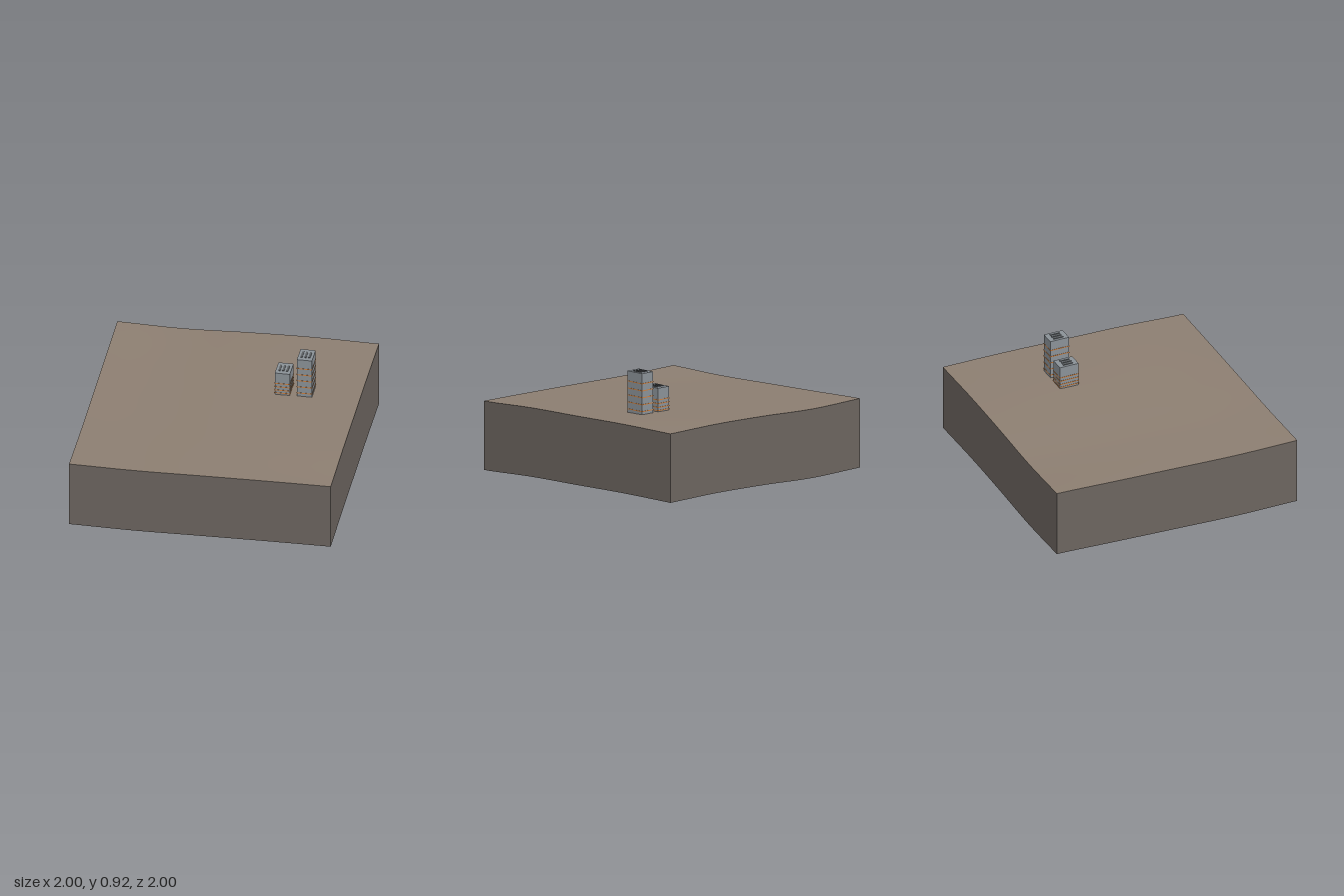
import * as THREE from 'three';

const DEPTH = 0.53;
const SEGMENTS = 32;

// Ground heights along the four edges, running -1 to +1
const edge = (...h) => new THREE.SplineCurve(h.map((y, i) => new THREE.Vector2(i, y)));
const backEdge = edge(0.58, 0.574, 0.595, 0.608, 0.605);
const frontEdge = edge(0.533, 0.531, 0.541, 0.55, 0.556);
const rightEdge = edge(0.58, 0.563, 0.547, 0.532, 0.533); // x = -1
const leftEdge = edge(0.605, 0.603, 0.591, 0.58, 0.556); // x = +1

// Blend the four edges into a gently rolling surface
function groundHeight(x, z) {
  const u = THREE.MathUtils.clamp((x + 1) / 2, 0, 1);
  const v = THREE.MathUtils.clamp((z + 1) / 2, 0, 1);
  const h = (curve, t) => curve.getPoint(t).y;
  const mix = THREE.MathUtils.lerp;
  const corners = mix(mix(h(backEdge, 0), h(backEdge, 1), u), mix(h(frontEdge, 0), h(frontEdge, 1), u), v);
  return mix(h(backEdge, u), h(frontEdge, u), v) + mix(h(rightEdge, v), h(leftEdge, v), u) - corners;
}

export function createModel() {
  const model = new THREE.Group();
  model.name = 'towersOnTerrain';

  const material = (name, color, side = THREE.FrontSide) => {
    const m = new THREE.MeshStandardMaterial({ color, side });
    m.name = name;
    return m;
  };
  const soil = material('soil', 0x8c7e71, THREE.DoubleSide);
  const earth = material('earthWall', 0x6b645f, THREE.DoubleSide);
  const concrete = material('concrete', 0x8a9197);
  const orange = material('orangeBand', 0xcc7f3e);
  const vent = material('roofVent', 0x5c6063);

  const add = (parent, name, geometry, mat, x = 0, y = 0, z = 0) => {
    const mesh = new THREE.Mesh(geometry, mat);
    mesh.name = name;
    mesh.position.set(x, y, z);
    parent.add(mesh);
  };

  // Ground surface
  const ground = new THREE.PlaneGeometry(2, 2, SEGMENTS, SEGMENTS).rotateX(-Math.PI / 2);
  const gp = ground.attributes.position;
  for (let i = 0; i < gp.count; i++) gp.setY(i, groundHeight(gp.getX(i), gp.getZ(i)));
  ground.computeVertexNormals();
  add(model, 'ground', ground, soil);

  // Side walls of constant depth following the ground edge, open underneath
  ['frontWall', 'leftWall', 'backWall', 'rightWall'].forEach((name, k) => {
    const wall = new THREE.PlaneGeometry(2, 1, SEGMENTS, 1).translate(0, 0, 1).rotateY(k * Math.PI / 2);
    const p = wall.attributes.position;
    for (let i = 0; i < p.count; i++) {
      const drop = p.getY(i) > 0 ? 0 : DEPTH;
      p.setY(i, groundHeight(p.getX(i), p.getZ(i)) - drop);
    }
    add(model, name, wall, earth);
  });

  // Towers: block, wraparound floor bands and three roof vents
  const W = 0.115, D = 0.155, Z = -0.253;
  const towers = [
    { name: 'shortTower', x: 0.413, base: 0.588, top: 0.775, bands: [0.603, 0.627, 0.656, 0.685] },
    { name: 'tallTower', x: 0.582, base: 0.592, top: 0.912, bands: [0.62, 0.673, 0.727, 0.78, 0.834] },
  ];
  for (const { name, x, base, top, bands } of towers) {
    const tower = new THREE.Group();
    tower.name = name;
    tower.position.set(x, 0, Z);
    add(tower, 'block', new THREE.BoxGeometry(W, top - base, D), concrete, 0, (top + base) / 2);
    for (const y of bands) add(tower, 'floorBand', new THREE.BoxGeometry(W + 0.004, 0.007, D + 0.004), orange, 0, y);
    for (const dx of [-0.03, 0, 0.03]) {
      add(tower, 'roofVent', new THREE.BoxGeometry(0.015, 0.006, 0.08), vent, dx, top + 0.002);
    }
    model.add(tower);
  }
  return model;
}
